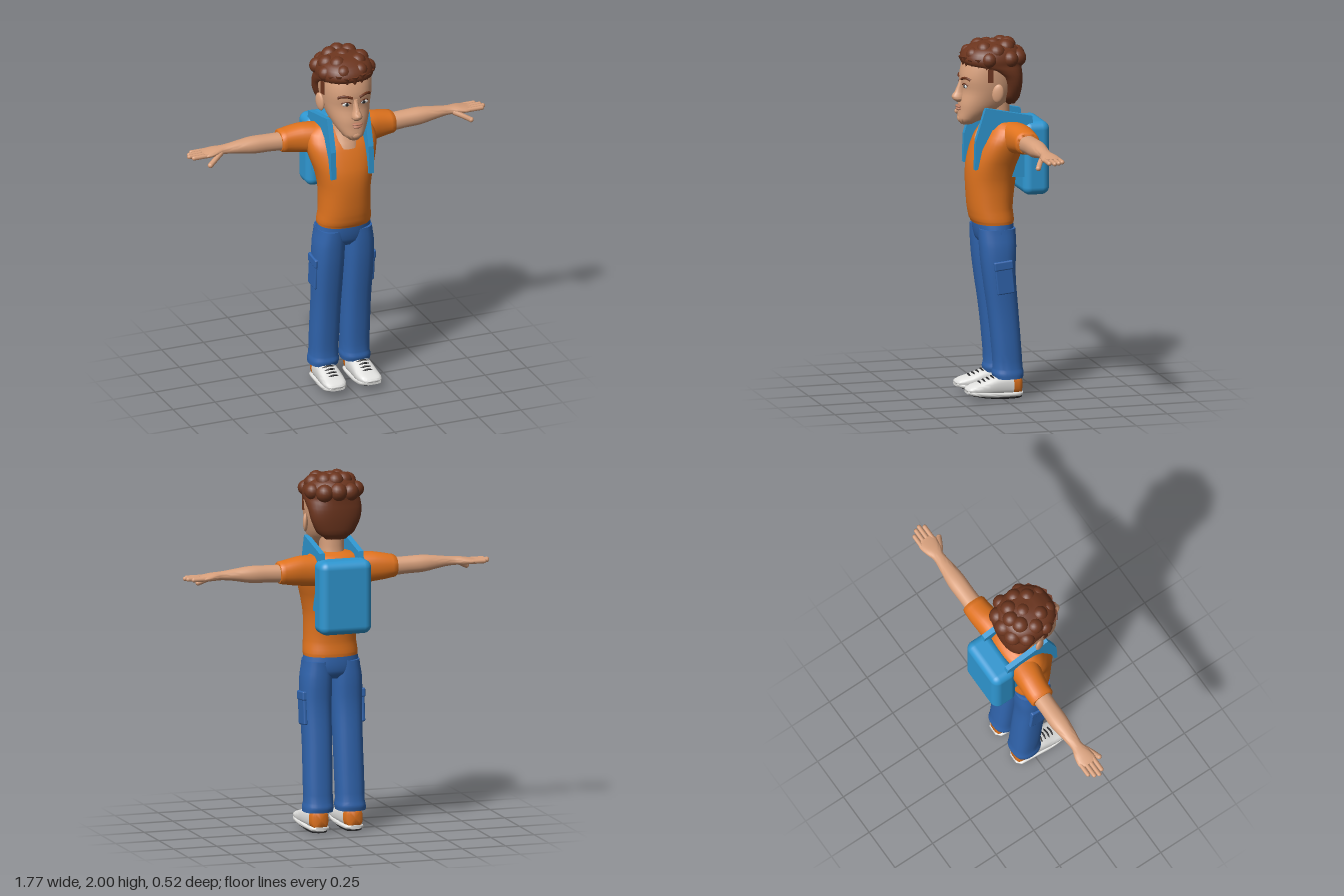
import * as THREE from 'three';
import { toCreasedNormals } from 'three/addons/utils/BufferGeometryUtils.js';
import { RoundedBoxGeometry } from 'three/addons/geometries/RoundedBoxGeometry.js';

const mat = (name, color) => new THREE.MeshStandardMaterial({ name, color });

// Catmull-Rom smoothing of a list of section rows
function smooth(rows, k) {
  const out = [], at = i => rows[Math.min(Math.max(i, 0), rows.length - 1)];
  for (let i = 0; i < rows.length - 1; i++)
    for (let s = 0; s < k; s++) {
      const t = s / k, [a, b, c, d] = [at(i - 1), at(i), at(i + 1), at(i + 2)];
      out.push(b.map((v, j) => {
        if (j === 0) return v + (c[0] - v) * t;
        const cubic = 3 * (v - c[j]) + d[j] - a[j];
        const square = 2 * a[j] - 5 * v + 4 * c[j] - d[j];
        return v + 0.5 * t * (c[j] - a[j] + t * (square + t * cubic));
      }));
    }
  out.push(at(rows.length - 1));
  return out;
}

// Closed skin over superellipse sections. Row: [position on axis, a min, a max, b min, b max]
// axis y: a = x, b = z;  axis x: a = y, b = z;  axis z: a = x, b = y
function loft(axis, rows, { n = 28, p = 2.3 } = {}) {
  const pos = [], idx = [], secs = smooth(rows, 3);
  const put = (t, a, b) => pos.push(...(axis === 'y' ? [a, t, b] : axis === 'x' ? [t, a, b] : [a, b, t]));
  const tri = (a, b, c) => axis === 'y' ? idx.push(a, c, b) : idx.push(a, b, c);
  const pw = v => Math.sign(v) * Math.abs(v) ** (2 / p);
  secs.forEach(([t, a0, a1, b0, b1]) => {
    for (let i = 0; i < n; i++) {
      const w = i / n * Math.PI * 2;
      put(t, (a0 + a1) / 2 + (a1 - a0) / 2 * pw(Math.cos(w)), (b0 + b1) / 2 + (b1 - b0) / 2 * pw(Math.sin(w)));
    }
  });
  for (let r = 0; r < secs.length - 1; r++)
    for (let i = 0; i < n; i++) {
      const a = r * n + i, b = r * n + (i + 1) % n;
      tri(a, b, b + n);
      tri(a, b + n, a + n);
    }
  [secs[0], secs[secs.length - 1]].forEach(([t, a0, a1, b0, b1], e) => {
    const c = pos.length / 3, o = e ? (secs.length - 1) * n : 0;
    put(t, (a0 + a1) / 2, (b0 + b1) / 2);
    for (let i = 0; i < n; i++) {
      const q = o + i, r = o + (i + 1) % n;
      if (e) tri(c, q, r);
      else tri(c, r, q);
    }
  });
  const g = new THREE.BufferGeometry();
  g.setAttribute('position', new THREE.Float32BufferAttribute(pos, 3));
  g.setIndex(idx);
  return toCreasedNormals(g, 0.9);
}

// Copy of a geometry on the other side of x = 0
function mirrored(geo) {
  const g = geo.index ? geo.toNonIndexed() : geo.clone();
  for (const key of ['position', 'normal']) {
    const at = g.attributes[key];
    for (let i = 0; i < at.count; i += 3) {
      const v = [0, 1, 2].map(j => [-at.getX(i + j), at.getY(i + j), at.getZ(i + j)]);
      [0, 2, 1].forEach((j, m) => at.setXYZ(i + m, ...v[j]));
    }
  }
  return g;
}

const ball = (x, y, z, rx, ry = rx, rz = rx) =>
  new THREE.SphereGeometry(1, 18, 12).scale(rx, ry, rz).translate(x, y, z);
const tube = (pts, r) =>
  new THREE.TubeGeometry(new THREE.CatmullRomCurve3(pts.map(q => new THREE.Vector3(...q))), 10, r, 8);

// Head sections, also used to lay features on the face
const HEAD = [[1.528, -.03, .03, .14, .205], [1.55, -.058, .058, .09, .222], [1.6, -.09, .09, .02, .218],
  [1.65, -.112, .112, -.05, .215], [1.72, -.13, .13, -.09, .2], [1.79, -.14, .14, -.11, .208],
  [1.87, -.142, .142, -.11, .19], [1.93, -.12, .12, -.08, .16], [1.96, -.05, .05, 0, .09]];
function faceZ(x, y) {
  const i = HEAD.findIndex(r => r[0] > y), t = (y - HEAD[i - 1][0]) / (HEAD[i][0] - HEAD[i - 1][0]);
  const [, , rx, b0, b1] = HEAD[i].map((v, j) => THREE.MathUtils.lerp(HEAD[i - 1][j], v, t));
  return (b0 + b1) / 2 + (b1 - b0) / 2 * (1 - (Math.abs(x) / rx) ** 2.3) ** (1 / 2.3);
}

export function createModel() {
  const skin = mat('skin', 0xd9a17d), hair = mat('hair', 0x6c351e), shirt = mat('orange', 0xe0731e),
    jeans = mat('denim', 0x3064ad), pack = mat('packBlue', 0x2f97d1), white = mat('white', 0xe2e2e0),
    dark = mat('dark', 0x2b2b2d), lips = mat('lips', 0xb97a60);
  const model = new THREE.Group();
  const add = (name, geo, m) => {
    const mesh = new THREE.Mesh(geo, m);
    mesh.name = name;
    model.add(mesh);
  };
  const pair = (name, geo, m) => {
    add(name + 'Left', geo, m);
    add(name + 'Right', mirrored(geo), m);
  };

  // Head and neck
  add('head', loft('y', HEAD, { n: 36 }), skin);
  add('neck', loft('y', [[1.44, -.085, .085, -.09, .125], [1.49, -.08, .08, -.085, .105],
    [1.55, -.066, .066, -.07, .085], [1.68, -.066, .066, -.07, .09]]), skin);
  add('nose', loft('y', [[1.652, -.014, .014, .19, .228], [1.668, -.028, .028, .18, .25],
    [1.685, -.026, .026, .18, .257], [1.71, -.017, .017, .18, .24], [1.775, -.012, .012, .18, .213]], { n: 16 }), skin);
  pair('ear', ball(0, 0, 0, .014, .052, .032).rotateX(-.15).rotateY(-.35).translate(.141, 1.715, .035), skin);
  pair('eyeWhite', ball(.052, 1.747, faceZ(.052, 1.747), .024, .011, .006), white);
  pair('iris', ball(.05, 1.747, faceZ(.05, 1.747) + .004, .01, .01, .004), dark);
  pair('upperLid', tube([.026, .04, .055, .078].map((x, i) =>
    [x, 1.752 + [0, .008, .009, 0][i], faceZ(x, 1.755) + .002]), .0035), hair);
  pair('eyebrow', tube([.02, .045, .07, .095].map((x, i) =>
    [x, 1.783 + [0, .009, .012, .002][i], faceZ(x, 1.79)]), .0075), hair);
  add('upperLip', ball(.003, 1.63, .22, .032, .008, .016), lips);
  add('lowerLip', ball(.003, 1.615, .22, .027, .009, .015), lips);
  add('chin', ball(0, 1.56, .2, .036, .026, .025), skin);

  // Hair: shell, sideburns, fringe tufts and curls
  add('hairShell', loft('y', [[1.635, -.06, .06, -.1, -.03], [1.67, -.105, .105, -.12, 0],
    [1.74, -.138, .138, -.13, 0], [1.8, -.15, .15, -.132, .03], [1.84, -.154, .154, -.13, .105],
    [1.865, -.154, .154, -.13, .188], [1.9, -.155, .155, -.13, .202], [1.945, -.135, .135, -.11, .175],
    [1.975, -.08, .08, -.07, .12], [1.985, -.03, .03, -.02, .05]], { n: 36 }), hair);
  pair('sideburn', new THREE.BoxGeometry(.012, .075, .03).rotateY(-.2).translate(.139, 1.815, .075), hair);
  for (let i = 0; i < 9; i++) {
    const a = (i - 4) * .3;
    add('fringeTuft', new THREE.ConeGeometry(.026, .055 + (i % 3) * .012, 6).rotateX(Math.PI)
      .translate(Math.sin(a) * .142, 1.872, .045 + Math.cos(a) * .143), hair);
  }
  for (const [x, y, z, r] of [[0, 1.9, -.105, .052], [0, 1.955, -.06, .046], [0, 1.95, .02, .048]])
    add('curl', ball(x, y, z, r), hair);
  for (const [x, y, z, r] of [[.072, 1.895, -.095, .05], [.125, 1.9, -.04, .045], [.055, 1.95, -.035, .048],
    [.1, 1.935, .03, .047], [.125, 1.9, .08, .043], [.06, 1.945, .09, .045], [.05, 1.92, .15, .04]])
    pair('curl', ball(x, y, z, r), hair);

  // Shirt
  add('shirtBody', loft('y', [[.975, -.15, .15, -.085, .14], [.995, -.152, .152, -.086, .15],
    [1.06, -.145, .145, -.08, .163], [1.2, -.145, .145, -.095, .173], [1.3, -.165, .165, -.11, .168],
    [1.38, -.19, .19, -.13, .145], [1.45, -.203, .203, -.14, .115], [1.51, -.19, .19, -.14, .075],
    [1.545, -.14, .14, -.115, .05], [1.56, -.08, .08, -.085, .02]], { n: 36 }), shirt);
  pair('sleeve', loft('x', [[.08, 1.37, 1.545, -.14, .04], [.2, 1.385, 1.55, -.145, .01],
    [.27, 1.395, 1.54, -.148, -.005], [.33, 1.405, 1.528, -.146, -.01], [.337, 1.41, 1.523, -.142, -.015]]), shirt);

  // Arms and hands
  pair('arm', loft('x', [[.28, 1.41, 1.51, -.13, -.025], [.4, 1.418, 1.512, -.13, -.03],
    [.5, 1.422, 1.514, -.132, -.03], [.6, 1.44, 1.503, -.12, -.04], [.67, 1.448, 1.495, -.114, -.048],
    [.72, 1.448, 1.491, -.13, -.035], [.77, 1.45, 1.482, -.138, -.028], [.795, 1.455, 1.478, -.13, -.036]], { n: 24 }), skin);
  for (const [z, tip] of [[-.123, .852], [-.097, .875], [-.071, .885], [-.045, .868]]) {
    const len = tip - .7825;
    pair('finger', new THREE.CapsuleGeometry(.0125, len, 4, 10).rotateZ(Math.PI / 2)
      .translate(.77 + len / 2, 1.466, z), skin);
  }
  pair('thumb', tube([[.69, 1.465, -.055], [.73, 1.448, -.03], [.775, 1.425, -.006]], .015), skin);
  pair('thumbTip', ball(.775, 1.425, -.006, .015), skin);

  // Trousers with side pockets
  add('hips', loft('y', [[.85, -.1, .1, -.05, .09], [.88, -.15, .15, -.075, .115],
    [.93, -.158, .158, -.083, .128], [1.0, -.146, .146, -.08, .135]]), jeans);
  pair('trouserLeg', loft('y', [[.115, .014, .176, -.115, .045], [.14, .01, .176, -.12, .052],
    [.17, .014, .17, -.114, .046], [.3, .012, .17, -.105, .055], [.5, .01, .168, -.09, .077],
    [.7, .006, .172, -.075, .106], [.85, .002, .17, -.08, .122], [.95, .004, .155, -.078, .126]], { p: 2.6 }), jeans);
  pair('pocket', new RoundedBoxGeometry(.022, .17, .1, 2, .008).rotateX(.1).translate(.167, .68, .005), jeans);
  pair('pocketFlap', new RoundedBoxGeometry(.028, .05, .108, 2, .008).rotateX(.1).translate(.168, .755, .012), jeans);

  // Shoes
  pair('shoeUpper', loft('z', [[-.055, .045, .152, .02, .13], [0, .042, .156, .02, .13],
    [.06, .038, .162, .022, .122], [.12, .036, .166, .026, .1], [.17, .042, .166, .034, .085],
    [.2, .06, .155, .045, .072], [.208, .08, .135, .052, .064]], { p: 2.8 }), white);
  pair('shoeHeel', loft('z', [[-.108, .07, .128, .03, .12], [-.1, .054, .144, .02, .13],
    [-.055, .046, .152, .02, .132]], { p: 2.8 }), shirt);
  pair('shoeRim', loft('z', [[-.112, .07, .13, .014, .036], [-.09, .046, .152, .012, .038], [0, .038, .16, .012, .04],
    [.1, .033, .169, .018, .048], [.17, .04, .168, .028, .056], [.205, .065, .15, .038, .06]], { p: 4 }), white);
  pair('shoeSole', loft('z', [[-.108, .075, .125, .004, .02], [-.08, .055, .144, 0, .02],
    [.02, .05, .148, 0, .02], [.11, .046, .156, .012, .03], [.17, .065, .145, .023, .036]], { p: 4 }), dark);
  for (let i = 0; i < 4; i++) {
    const z = .055 + i * .024, y = .127 - i * .009;
    pair('lace', tube([[.066, y - .012, z], [.1, y, z + .006], [.136, y - .012, z]], .005), dark);
  }
  pair('ankle', ball(.098, .12, -.02, .045, .03, .06), dark);

  // Backpack and shoulder straps
  add('backpack', new RoundedBoxGeometry(.3, .41, .152, 5, .045).translate(0, 1.335, -.19), pack);
  const strap = new THREE.Shape([[.162, 1.29], [.157, 1.45], [.1, 1.632], [-.165, 1.575], [-.175, 1.5],
    [-.12, 1.235], [-.05, 1.24], [-.09, 1.45], [-.03, 1.52], [.06, 1.51], [.12, 1.4], [.145, 1.29]]
    .map(q => new THREE.Vector2(...q)));
  pair('strap', new THREE.ExtrudeGeometry(strap, { depth: .03, bevelEnabled: false })
    .rotateY(-Math.PI / 2).translate(.127, 0, 0), pack);
  return model;
}
